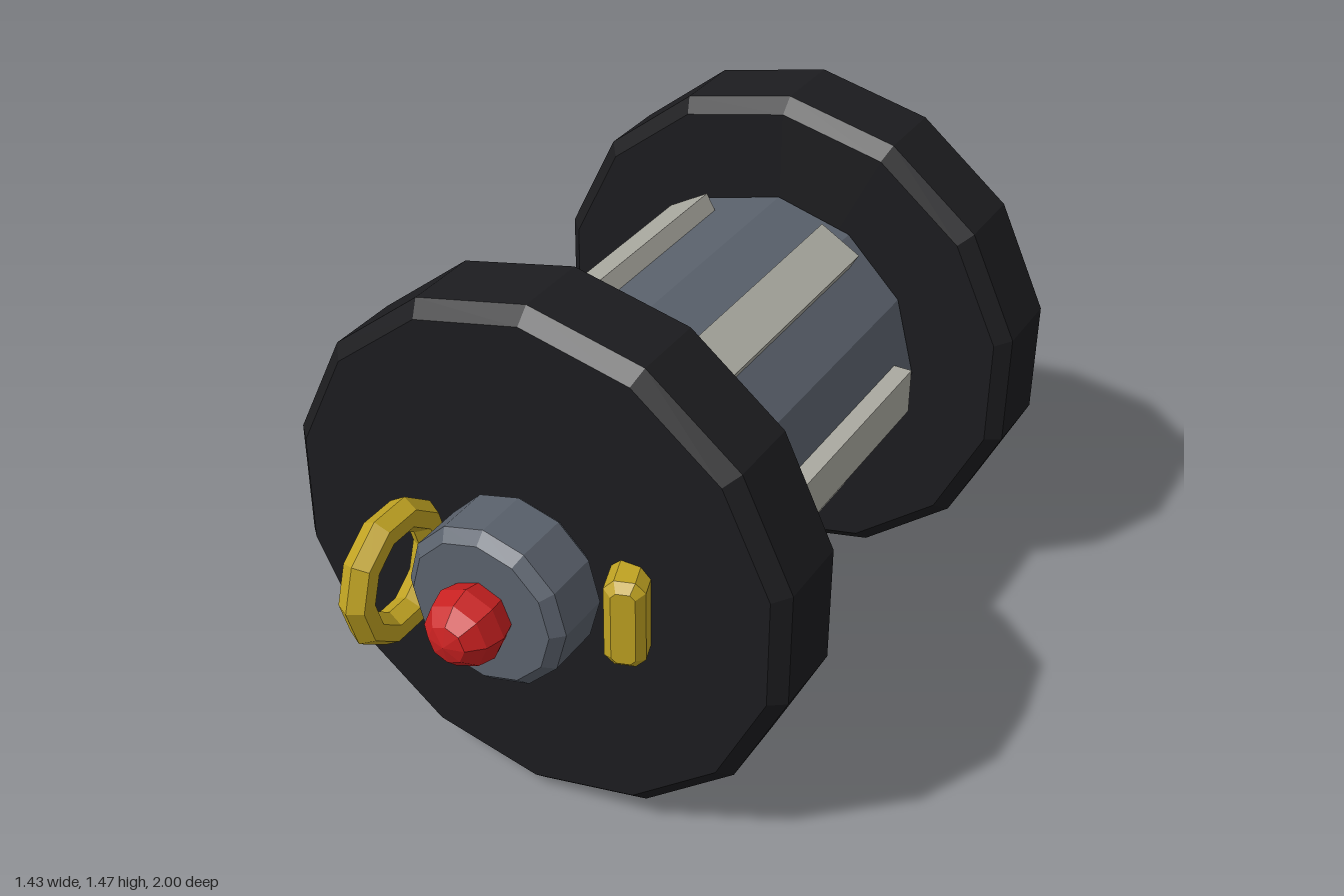
import * as THREE from 'three';

const AXIS_Y = 0.737; // height of the long axis

function paint(color) {
  return new THREE.MeshStandardMaterial({ color, flatShading: true });
}

export function createModel() {
  const model = new THREE.Group();
  const rubber = paint(0x1c1c1f);
  const steel = paint(0x5a616c);
  const rib = paint(0xaaa9a0);
  const red = paint(0xc82020);
  const yellow = paint(0xbfa222);

  function add(name, geometry, material, x = 0, y = 0, z = 0) {
    const mesh = new THREE.Mesh(geometry, material);
    mesh.name = name;
    mesh.position.set(x, AXIS_Y + y, z);
    model.add(mesh);
    return mesh;
  }

  // Faceted drum along z with a chamfer on both rims
  function drum(radius, back, front, chamfer, sides) {
    const profile = [
      [0, back], [radius - chamfer, back], [radius, back + chamfer],
      [radius, front - chamfer], [radius - chamfer, front], [0, front],
    ].map(([r, h]) => new THREE.Vector2(r, h));
    return new THREE.LatheGeometry(profile, sides).rotateX(Math.PI / 2);
  }

  // Box with all edges chamfered, centred on its origin
  function chamferedBox(w, h, d, c) {
    const x = w / 2 - c, y = h / 2 - c;
    const k = c * 0.6;
    const outline = [
      [-x + k, -y], [x - k, -y], [x, -y + k], [x, y - k],
      [x - k, y], [-x + k, y], [-x, y - k], [-x, -y + k],
    ].map(([a, b]) => new THREE.Vector2(a, b));
    return new THREE.ExtrudeGeometry(new THREE.Shape(outline), {
      depth: d - 2 * c, bevelEnabled: true, bevelSize: c, bevelThickness: c, bevelSegments: 1,
    }).translate(0, 0, c - d / 2);
  }

  // Two end discs and the core between them
  add('frontDisc', drum(0.735, 0.33, 0.62, 0.04, 14), rubber);
  add('backDisc', drum(0.735, -1, -0.71, 0.04, 14), rubber);
  add('core', drum(0.445, -0.715, 0.335, 0.012, 12), steel);

  // Six ribs around the core
  for (let i = 0; i < 6; i++) {
    const angle = i * Math.PI / 3;
    const r = 0.4525;
    const bar = add('rib', new THREE.BoxGeometry(0.055, 0.135, 0.85), rib,
      r * Math.cos(angle), r * Math.sin(angle), -0.187);
    bar.rotation.z = angle;
  }

  // Hub and button on the front
  add('hub', drum(0.228, 0.615, 0.828, 0.03, 12), steel);
  add('button', new THREE.SphereGeometry(0.105, 8, 6).rotateX(Math.PI / 2), red, 0, 0, 0.88);

  // Pull ring on the right, standing out from the front disc
  add('pullRing', new THREE.TorusGeometry(0.155, 0.045, 6, 10).rotateY(-Math.PI / 2),
    yellow, -0.275, 0, 0.8);

  // Tilted catch on the left
  const catchBlock = add('catch', chamferedBox(0.105, 0.255, 0.2, 0.022), yellow, 0.3, 0, 0.616);
  catchBlock.rotation.y = 0.33;

  return model;
}
